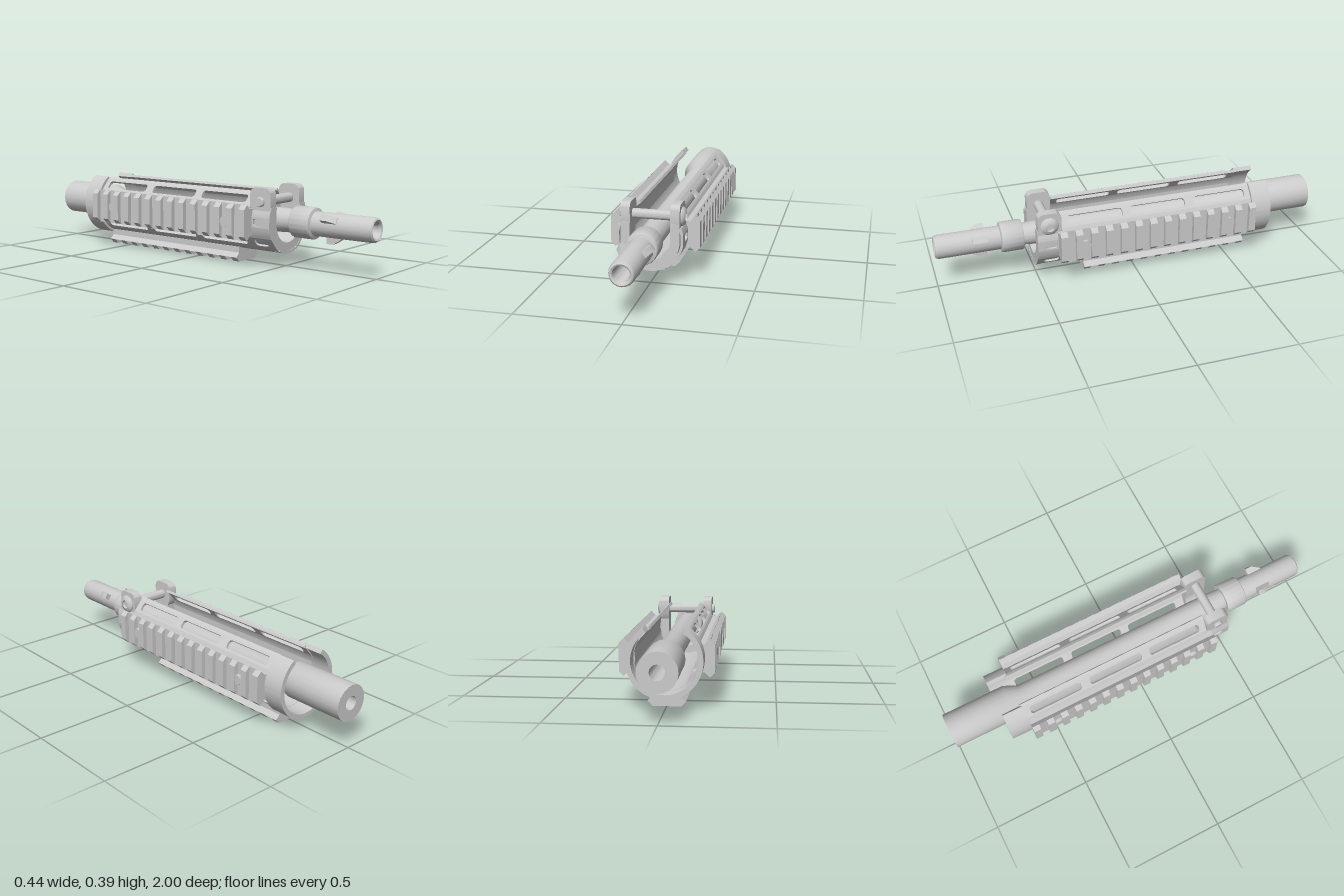
import * as THREE from 'three';
import { toCreasedNormals } from 'three/addons/utils/BufferGeometryUtils.js';

const CY = 0.226; // height of the barrel axis
const rad = THREE.MathUtils.degToRad;
const mat = new THREE.MeshStandardMaterial({ color: 0xcccccc });

export function createModel() {
  const root = new THREE.Group();

  const add = (name, geo, parent = root) => {
    const mesh = new THREE.Mesh(toCreasedNormals(geo, rad(35)), mat);
    mesh.name = name;
    parent.add(mesh);
    return mesh;
  };
  const polygon = pts => new THREE.Shape(pts.map(p => new THREE.Vector2(p[0], p[1])));
  const extrude = (shape, depth) =>
    new THREE.ExtrudeGeometry(shape, { depth, bevelEnabled: false, curveSegments: 8 });

  // Curved wall of the tube between two angles (0 = +x, 90 = up)
  const sector = (name, a0, a1, ri, ro, z0, z1) => {
    const s = new THREE.Shape();
    s.absarc(0, 0, ro, rad(a0), rad(a1), false);
    s.absarc(0, 0, ri, rad(a1), rad(a0), true);
    const geo = new THREE.ExtrudeGeometry(s, {
      depth: z1 - z0, bevelEnabled: false, curveSegments: Math.max(2, Math.round((a1 - a0) / 8)),
    });
    add(name, geo).position.set(0, CY, z0);
  };

  // Flat wall panel of the tube with rounded slots
  const RI = 0.15, RO = 0.163;
  const panel = (name, angle, half, z0, z1, slotWidth, slots) => {
    const w = RO * Math.sin(rad(half)), h = slotWidth / 2, r = h * 0.7;
    const s = polygon([[-w, z0], [w, z0], [w, z1], [-w, z1]]);
    for (const [a, b] of slots) {
      const hole = new THREE.Path();
      hole.absarc(h - r, b - r, r, 0, Math.PI / 2);
      hole.absarc(r - h, b - r, r, Math.PI / 2, Math.PI);
      hole.absarc(r - h, a + r, r, Math.PI, Math.PI * 1.5);
      hole.absarc(h - r, a + r, r, Math.PI * 1.5, Math.PI * 2);
      s.holes.push(hole);
    }
    const c = Math.cos(rad(angle)), n = Math.sin(rad(angle));
    const d = RO * Math.cos(rad(half)) - 0.013;
    const geo = extrude(s, 0.013).applyMatrix4(new THREE.Matrix4().makeBasis(
      new THREE.Vector3(-n, c, 0), new THREE.Vector3(0, 0, 1), new THREE.Vector3(c, n, 0)));
    add(name, geo).position.set(c * d, CY + n * d, 0);
  };

  // Barrel with a through bore, rear shank, front collar and rounded muzzle
  const profile = [[0.035, -1], [0.09, -1], [0.09, -0.67], [0.06, -0.6], [0.06, 0.5], [0.055, 0.56],
    [0.075, 0.56], [0.078, 0.565], [0.078, 0.665], [0.075, 0.67], [0.06, 0.675], [0.06, 0.982],
    [0.056, 0.995], [0.049, 1], [0.041, 0.996], [0.035, 0.98], [0.035, -1]];
  const barrel = new THREE.LatheGeometry(profile.map(p => new THREE.Vector2(p[0], p[1])), 20);
  barrel.rotateX(Math.PI / 2);
  add('barrel', barrel).position.y = CY;

  // Three locking lugs around the muzzle
  for (const a of [30, 150, 270]) {
    const c = Math.cos(rad(a)), n = Math.sin(rad(a));
    const geo = extrude(polygon([[0.74, 0.05], [0.82, 0.05], [0.815, 0.064], [0.775, 0.089], [0.74, 0.089]]), 0.03);
    geo.translate(0, 0, -0.015).applyMatrix4(new THREE.Matrix4().makeBasis(
      new THREE.Vector3(0, 0, 1), new THREE.Vector3(c, n, 0), new THREE.Vector3(-n, c, 0)));
    add('muzzleLug', geo).position.y = CY;
  }

  // Handguard shell, open at the top, with slotted diagonal panels
  const back = -0.64, mid = 0.385, front = 0.512;
  const longSlots = [[-0.6, -0.32], [-0.27, 0.02], [0.065, 0.35]];
  for (const left of [true, false]) {
    const turn = a => (left ? a : 180 - a);
    const wall = (name, a0, a1, z0, z1) =>
      sector(name, Math.min(turn(a0), turn(a1)), Math.max(turn(a0), turn(a1)), RI, RO, z0, z1);
    wall('shellTopEdge', 53, 60, back, mid);
    wall('shellSide', -29, 29, back, mid);
    panel('upperSlotPanel', turn(41), 12, back, mid, 0.046, longSlots);
    panel('lowerSlotPanel', turn(-41), 12, back, front, 0.046, [...longSlots, [0.4, 0.475]]);
    // front extension beside the yoke
    wall('frontWallUpper', 9, 21, mid, front);
    wall('frontWallLower', -29, -9, mid, front);
    panel('frontSlotPanel', turn(0), 9, mid, front, 0.036, [[0.415, 0.475]]);
  }
  sector('shellBottom', -127, -53, RI, RO, back, front);
  sector('rearCollar', -237, 57, 0.152, 0.175, -0.735, -0.63);

  // Front yoke: U-shaped cradle with rounded ears
  const u = new THREE.Shape();
  u.moveTo(0.143, 0.3);
  u.lineTo(0.143, 0.215);
  u.absarc(0, 0.215, 0.143, 0, -Math.PI, true);
  u.lineTo(-0.143, 0.3);
  u.lineTo(-0.098, 0.3);
  u.lineTo(-0.098, 0.215);
  u.absarc(0, 0.215, 0.098, Math.PI, Math.PI * 2, false);
  u.lineTo(0.098, 0.3);
  add('yoke', new THREE.ExtrudeGeometry(u, { depth: 0.11, bevelEnabled: false, curveSegments: 20 }))
    .position.z = 0.4;

  const ear = new THREE.Shape();
  ear.moveTo(0.4, 0.27);
  ear.lineTo(0.5, 0.27);
  ear.lineTo(0.505, 0.3);
  ear.absarc(0.473, 0.36, 0.032, 0, Math.PI / 2);
  ear.absarc(0.417, 0.36, 0.032, Math.PI / 2, Math.PI);
  ear.lineTo(0.385, 0.3);
  for (const x of [0.143, -0.097]) {
    const m = add('yokeEar', extrude(ear, 0.046));
    m.rotation.y = -Math.PI / 2;
    m.position.x = x;
  }

  // Clamp bolt through the ears, with a domed socket head
  const bolt = [[0.001, -0.158], [0.02, -0.158], [0.024, -0.153], [0.024, 0.142], [0.046, 0.142],
    [0.046, 0.148], [0.038, 0.157], [0.022, 0.162], [0.02, 0.15], [0.001, 0.15]];
  const boltGeo = new THREE.LatheGeometry(bolt.map(p => new THREE.Vector2(p[0], p[1])), 18);
  boltGeo.rotateZ(-Math.PI / 2);
  add('clampBolt', boltGeo).position.set(0, 0.325, 0.447);

  // Accessory rails: dovetail body with evenly spaced teeth
  const rail = (name, angle, x, y, z0, z1, teeth) => {
    const g = new THREE.Group();
    g.name = name;
    g.position.set(x, y, 0);
    g.rotation.z = rad(angle);
    root.add(g);
    const body = polygon([[-0.065, 0.146], [0.065, 0.146], [0.065, 0.175], [0.088, 0.198],
      [-0.088, 0.198], [-0.065, 0.175]]);
    add('railBody', extrude(body, z1 - z0), g).position.z = z0;
    const tooth = polygon([[-0.088, 0.197], [0.088, 0.197], [0.066, 0.22], [-0.066, 0.22]]);
    const w = 0.036, pitch = (z1 - z0 - w) / (teeth - 1);
    for (let i = 0; i < teeth; i++) add('railTooth', extrude(tooth, w), g).position.z = z0 + i * pitch;
    return g;
  };
  for (const s of [1, -1]) {
    const g = rail('sideRail', -90 * s, 0, 0.2245, -0.628, 0.408, 14);
    for (const z of [0.28, -0.485])
      add('railScrew', new THREE.CylinderGeometry(0.026, 0.026, 0.03, 14), g).position.set(0, 0.2, z);
  }
  rail('bottomRail', 180, 0, 0.22, -0.628, 0.26, 12);

  // Small pins at the front of the bottom rail
  for (const s of [1, -1]) {
    const pin = new THREE.CylinderGeometry(0.007, 0.007, 0.03, 10);
    pin.rotateX(Math.PI / 2);
    add('railPin', pin).position.set(0.069 * s, 0.083, 0.5);
  }

  return root;
}
